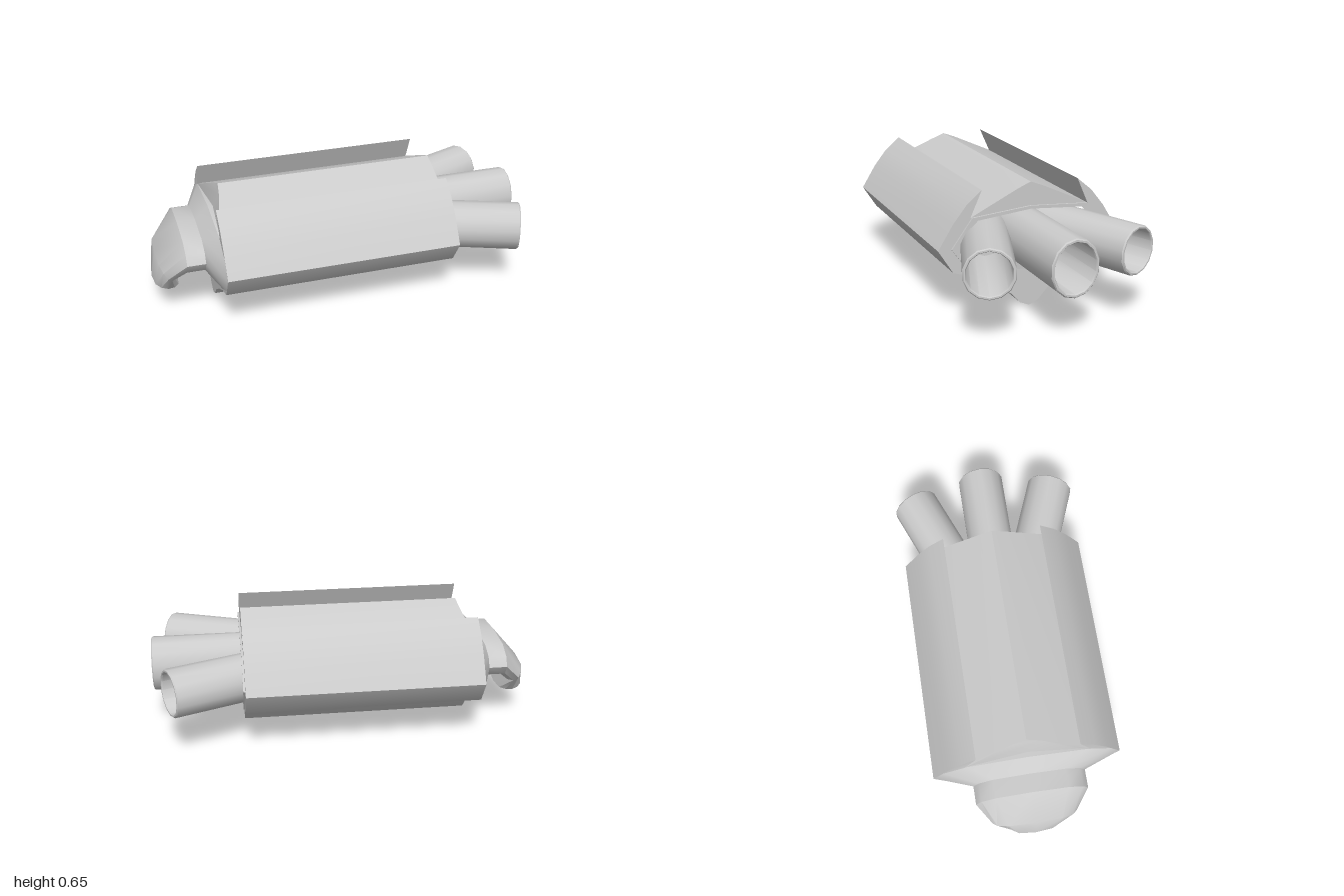
import * as THREE from 'three';
import { toCreasedNormals } from 'three/addons/utils/BufferGeometryUtils.js';

const MID = 0.36; // height of the long axis
const material = new THREE.MeshStandardMaterial({ color: 0xcccccc });

function addMesh(parent, name, geometry, crease = 0.3) {
  const mesh = new THREE.Mesh(toCreasedNormals(geometry, crease), material);
  mesh.name = name;
  parent.add(mesh);
  return mesh;
}

// Half outline (z, y) mirrored to a closed loop
function mirrorOutline(half) {
  const mirrored = half.slice(1, -1).reverse().map(([z, y]) => [-z, y]);
  return [...half, ...mirrored].map(([z, y]) => new THREE.Vector2(z, y));
}

// Section extruded along x, optionally hollowed by a second outline
function extrudeSection(half, x0, x1, hole) {
  const shape = new THREE.Shape(mirrorOutline(half));
  if (hole) shape.holes.push(new THREE.Path(mirrorOutline(hole)));
  const geo = new THREE.ExtrudeGeometry(shape, { depth: x1 - x0, bevelEnabled: false });
  return geo.rotateY(Math.PI / 2).translate(x0, 0, 0);
}

// Skin through rings of equal point count, closed by a fan on the last ring
function loft(rings) {
  const n = rings[0].length;
  const index = [];
  for (let r = 0; r < rings.length - 1; r++) {
    for (let i = 0; i < n; i++) {
      const j = (i + 1) % n;
      const a = r * n + i, b = r * n + j, c = a + n, d = b + n;
      index.push(a, c, b, b, c, d);
    }
  }
  const last = (rings.length - 1) * n;
  for (let i = 1; i < n - 1; i++) index.push(last, last + i + 1, last + i);
  const geo = new THREE.BufferGeometry();
  geo.setAttribute('position', new THREE.Float32BufferAttribute(rings.flat(2), 3));
  geo.setIndex(index);
  geo.computeVertexNormals();
  return geo;
}

// Unit section of the flattened duct: [z, y], running from top towards +z
const quarter = [[0, 1], [0.64, 0.87], [0.9, 0.5], [1, 0]];
const upper = [...quarter, ...quarter.slice(0, -1).reverse().map(([z, y]) => [z, -y])];
const unit = [...upper, ...upper.slice(1, -1).reverse().map(([z, y]) => [-z, y])];

// Ring spanning a top and a bottom point in the xy plane, with half width hz
function ductRing([tx, ty], [bx, by], hz) {
  return unit.map(([z, y]) => {
    const t = (1 + y) / 2;
    return [bx + (tx - bx) * t, by + (ty - by) * t, z * hz];
  });
}

// Open pipe along +x with a wall, a softened rim and a floor inside
function pipeGeometry(length, radius, floor) {
  const inner = radius - 0.017;
  const profile = [
    [radius, 0], [radius, length - 0.006], [radius - 0.005, length],
    [inner + 0.004, length], [inner, length - 0.006], [inner, floor], [0, floor],
  ].map(([r, y]) => new THREE.Vector2(r, y));
  return new THREE.LatheGeometry(profile, 14, Math.PI / 2).rotateZ(-Math.PI / 2);
}

export function createModel() {
  const model = new THREE.Group();
  model.name = 'exhaustUnit';

  // Mouth of the recess that the pipes come out of
  const mouth = [[0, 0.515], [0.285, 0.49], [0.4, MID], [0.285, 0.23], [0, 0.2]];
  const recessX = 0.3;

  // Main casing: top ridge, inward leaning side fins, bottom keel
  const casing = extrudeSection([
    [0, 0.65], [0.07, 0.622], [0.305, 0.512], [0.32, 0.503], [0.26, 0.637], [0.34, 0.57],
    [0.41, 0.483], [0.487, MID], [0.41, 0.238], [0.31, 0.205], [0.19, 0.14],
    [0.1, 0.08], [0.05, 0.025], [0, 0.003],
  ], -0.68, 0.53, mouth);
  // Slope the rear end of the ridge between the fins
  const p = casing.attributes.position;
  for (let i = 0; i < p.count; i++) {
    const y = p.getY(i), z = Math.abs(p.getZ(i));
    if (p.getX(i) < 0 && y > 0.5 && z < 0.31 && y < 0.66 - 0.45 * z) {
      p.setX(i, -0.66 + (y - 0.51) * 0.28);
    }
  }
  addMesh(model, 'casing', casing, 0.75);

  // Core closing the recess, and the raised frame around its mouth
  addMesh(model, 'core', extrudeSection(mouth, -0.6, recessX));
  addMesh(model, 'mouthFrame', extrudeSection(
    [[0, 0.53], [0.312, 0.506], [0.42, MID], [0.312, 0.212], [0, 0.188]], 0.52, 0.54, mouth));

  // Tapered neck and hooded duct bending down
  addMesh(model, 'duct', loft([
    ductRing([-0.64, 0.53], [-0.64, 0.19], 0.48),
    ductRing([-0.68, 0.53], [-0.68, 0.19], 0.48),
    ductRing([-0.75, 0.46], [-0.75, 0.26], 0.29),
    ductRing([-0.845, 0.46], [-0.845, 0.26], 0.29),
    ductRing([-0.975, 0.31], [-0.895, 0.21], 0.22),
    ductRing([-1, 0.165], [-0.865, 0.145], 0.14),
  ]), 0.6);

  // Centre pipe, slightly taller than wide
  const centre = addMesh(model, 'centrePipe', pipeGeometry(1 - recessX, 0.125, 0.19), 0.6);
  centre.position.set(recessX, MID, 0);
  centre.scale.y = 1.16;

  // Splayed outer pipes
  const splay = 0.375, length = 0.68;
  for (const side of [-1, 1]) {
    const pipe = addMesh(model, side > 0 ? 'frontPipe' : 'backPipe', pipeGeometry(length, 0.125, 0.14), 0.6);
    pipe.rotation.y = -side * splay;
    pipe.position.set(0.907 - length * Math.cos(splay), MID, side * (0.388 - length * Math.sin(splay)));
  }
  return model;
}
